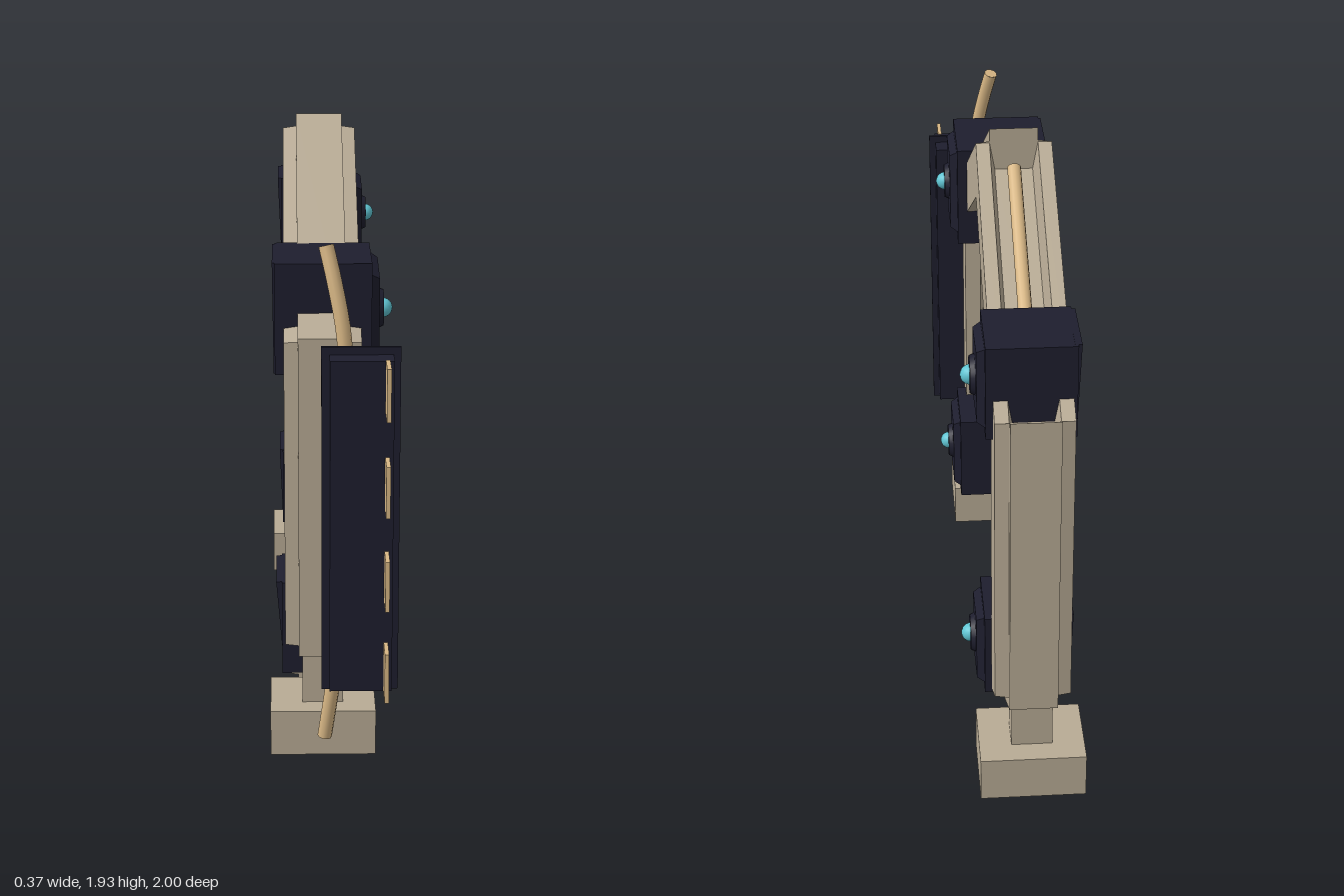
import * as THREE from 'three';

const mat = (name, color, side = THREE.FrontSide) => {
  const m = new THREE.MeshStandardMaterial({ color, side });
  m.name = name;
  return m;
};

// Ring layout: a hexagon in the z-y plane, one side missing
const CX = -0.03, CY = 0.97, CZ = -0.148;
const ringPoint = (x, apothem, side, t) => {
  const at = (k) => {
    const a = (k * Math.PI) / 3, r = apothem / Math.cos(Math.PI / 6);
    return new THREE.Vector3(CX + x, CY + Math.cos(a) * r, CZ + Math.sin(a) * r);
  };
  return at(side).lerp(at(side + 1), t);
};

export function createModel() {
  const model = new THREE.Group();
  const stone = mat('stone', 0xb8ab95);
  const dark = mat('dark metal', 0x1e1e2e);
  const tan = mat('tan cable', 0xd8b785);
  const blue = mat('blue crystal', 0x5fc4d2);

  const add = (name, geo, material, x = 0, y = 0, z = 0, parent = model) => {
    const m = new THREE.Mesh(geo, material);
    m.name = name;
    m.position.set(x, y, z);
    parent.add(m);
    return m;
  };
  // Box given by its min and max on each axis
  const box = (name, material, x0, x1, y0, y1, z0, z1) =>
    add(name, new THREE.BoxGeometry(x1 - x0, y1 - y0, z1 - z0), material,
      (x0 + x1) / 2, (y0 + y1) / 2, (z0 + z1) / 2);

  // Beam cross-sections as [x, apothem]
  const railed = [[-0.11, 0.65], [-0.06, 0.65], [-0.05, 0.695], [0.05, 0.695], [0.06, 0.65],
    [0.11, 0.65], [0.11, 0.797], [0.07, 0.802], [0.07, 0.835], [-0.07, 0.835], [-0.07, 0.802], [-0.11, 0.797]];
  const channel = [[-0.11, 0.65], [0.11, 0.65], [0.11, 0.797], [0.07, 0.797],
    [0.055, 0.725], [-0.055, 0.725], [-0.07, 0.797], [-0.11, 0.797]];

  // Mitred beam along one side of the hexagon
  const beam = (name, side, profile) => {
    const shape = new THREE.Shape(profile.map(([x, a]) => new THREE.Vector2(x, a)));
    const geo = new THREE.ExtrudeGeometry(shape, { depth: 1, bevelEnabled: false });
    const p = geo.attributes.position;
    for (let i = 0; i < p.count; i++) {
      const v = ringPoint(p.getX(i), p.getY(i), side, p.getZ(i));
      p.setXYZ(i, v.x, v.y, v.z);
    }
    geo.computeVertexNormals();
    add(name, geo, stone);
  };
  beam('frontRoofBeam', 0, railed);
  beam('frontColumn', 1, railed);
  beam('lowerBeam', 3, railed);
  beam('backColumn', 4, railed);
  beam('backRoofBeam', 5, channel);

  // Straight cables lying in the grooves
  const cable = (name, side, t0, t1, apothem = 0.678) => {
    const a = ringPoint(0, apothem, side, t0), b = ringPoint(0, apothem, side, t1);
    const d = b.clone().sub(a);
    const m = add(name, new THREE.CylinderGeometry(0.02, 0.02, d.length(), 12), tan);
    m.position.copy(a).add(b).multiplyScalar(0.5);
    m.quaternion.setFromUnitVectors(new THREE.Vector3(0, 1, 0), d.normalize());
  };
  cable('frontRoofCable', 0, 0.02, 0.9);
  cable('frontColumnCable', 1, 0, 0.52);
  cable('lowerCable', 3, 0.25, 0.95);
  cable('backColumnCable', 4, 0.15, 0.95);
  cable('backRoofCable', 5, 0.1, 0.98, 0.742);

  // Joint housings: z range, y range, x range, tilt of the far plate, crystal z and y
  const joints = [
    ['upperFrontJoint', 0.345, 0.6, 1.322, 1.645, -0.165, 0.11, 0.01, 0.475, 1.485],
    ['lowerFrontJoint', 0.32, 0.555, 0.375, 0.665, -0.15, 0.11, 0.08, 0.44, 0.525],
    ['upperBackJoint', -0.885, -0.66, 1.345, 1.625, -0.15, 0.1, 0.04, -0.77, 1.485],
    ['lowerBackJoint', -0.81, -0.595, 0.42, 0.685, -0.15, 0.1, 0.04, -0.7, 0.56],
  ];
  for (const [name, z0, z1, y0, y1, x0, x1, tilt, cz, cy] of joints) {
    const w = z1 - z0, h = y1 - y0, my = (y0 + y1) / 2, mz = (z0 + z1) / 2;
    box(name + 'Housing', dark, x0, x1, y0, y1, z0, z1);
    const back = add(name + 'FarPlate', new THREE.BoxGeometry(0.02, h, w * 0.9), dark, x0 + 0.005, my, mz);
    back.rotation.z = tilt;
    // Tapered, slightly turned cover on the crystal side
    const cover = new THREE.CylinderGeometry(0.62, 0.7, 1, 4);
    cover.rotateY(Math.PI / 4).rotateZ(-Math.PI / 2).scale(0.025, h * 0.85, w * 0.85);
    const plate = add(name + 'Cover', cover.toNonIndexed(), dark, x1 + 0.01, my, mz);
    plate.geometry.computeVertexNormals();
    plate.rotation.x = 0.08;
    const boss = new THREE.CylinderGeometry(0.052, 0.065, 0.03, 20).rotateZ(-Math.PI / 2);
    add(name + 'Boss', boss, dark, x1 + 0.022, cy, cz);
    add(name + 'Crystal', new THREE.SphereGeometry(0.028, 16, 12), blue, x1 + 0.035, cy, cz);
  }

  // Feet and their posts
  for (const [name, z0, z1, p0, p1] of [['front', 0.455, 0.695, 0.52, 0.63], ['back', -1, -0.755, -0.93, -0.82]]) {
    box(name + 'Foot', stone, -0.185, 0.125, 0.175, 0.315, z0, z1);
    box(name + 'Post', stone, -0.09, 0.03, 0.31, 0.52, p0, p1);
  }

  // Control panel with a thin flange and four fins
  box('panelBody', dark, -0.015, 0.16, 0.485, 1.455, 0.78, 0.918);
  box('panelFlange', dark, -0.037, 0.18, 0.463, 1.477, 0.845, 0.855);
  for (let i = 0; i < 4; i++) {
    const y = 0.485 + i * 0.2745;
    box('panelFin' + (i + 1), tan, 0.136, 0.148, y, y + 0.148, 0.91, 1);
  }

  // Bent cable running behind the panel
  const path = new THREE.CatmullRomCurve3([
    [-0.022, 1.735, 0.755], [0.0, 1.64, 0.78], [0.025, 1.5, 0.803], [0.035, 1.3, 0.808],
    [0.03, 0.7, 0.808], [0.0, 0.48, 0.803], [-0.027, 0.28, 0.782],
  ].map((p) => new THREE.Vector3(...p)));
  add('panelCable', new THREE.TubeGeometry(path, 40, 0.021, 10), tan);
  for (const [t, ry] of [[0, 1], [1, -1]]) {
    const cap = add('panelCableEnd', new THREE.CircleGeometry(0.021, 10), tan);
    cap.position.copy(path.getPoint(t));
    cap.quaternion.setFromUnitVectors(new THREE.Vector3(0, 0, 1), path.getTangent(t).multiplyScalar(-ry));
  }
  return model;
}
